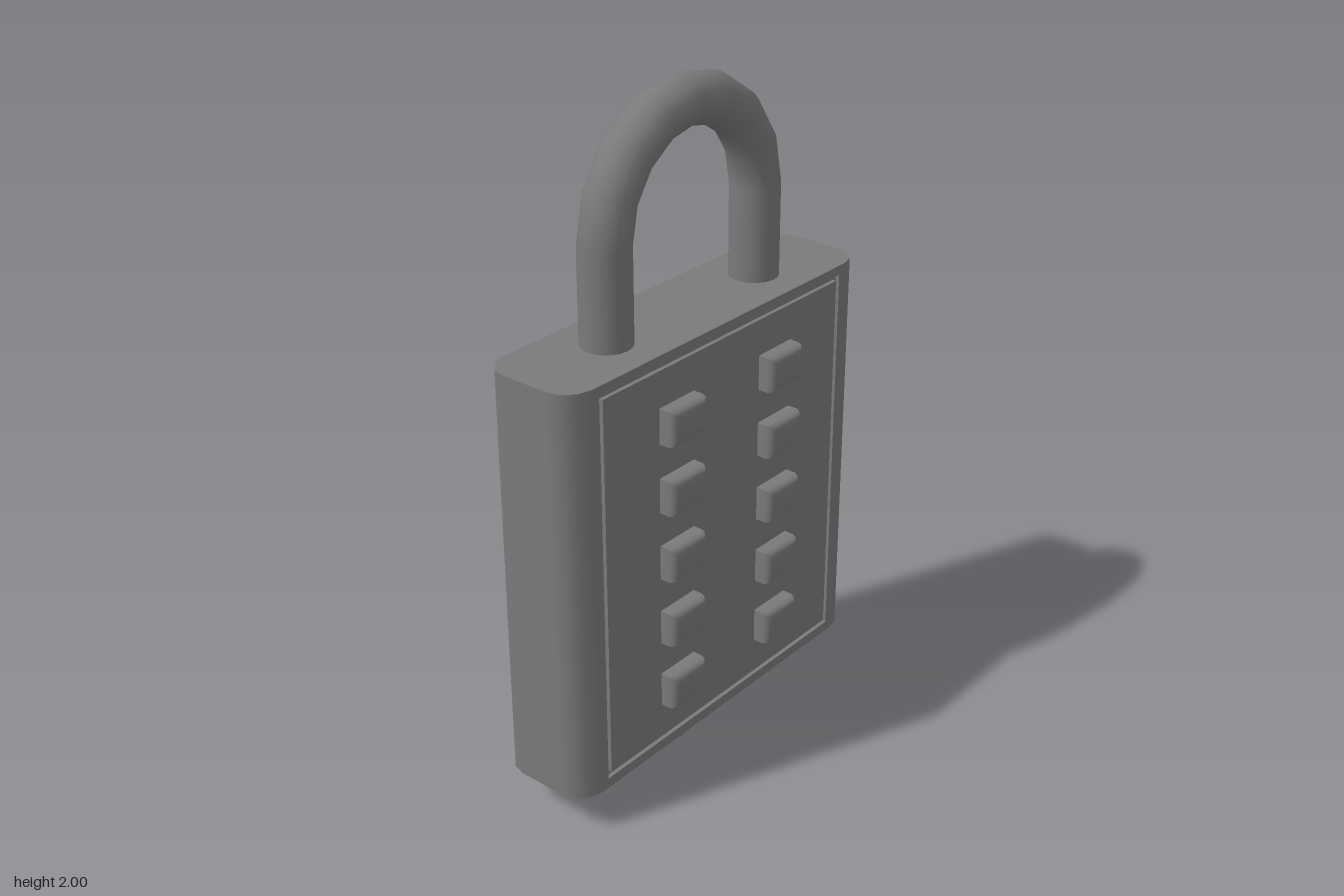
import * as THREE from 'three';
import { mergeVertices, toCreasedNormals } from 'three/addons/utils/BufferGeometryUtils.js';

const W = 0.613, BACK = -0.18, FRONT = 0.126, R = 0.08;
const GROOVE_X = 0.508, GROOVE_Z = 0.114;
const SHACKLE_Z = -0.027, SHACKLE_R = 0.308, ROD = 0.072;

export function createModel() {
  const group = new THREE.Group();
  const material = new THREE.MeshStandardMaterial({ color: 0x7a7a7a });

  const add = (name, geometry, x = 0, y = 0, z = 0, parent = group) => {
    const mesh = new THREE.Mesh(geometry, material);
    mesh.name = name;
    mesh.position.set(x, y, z);
    parent.add(mesh);
    return mesh;
  };

  // Plan outline of the case (shape y is -z): rounded corners, optional front notch and latch slot
  const outline = (notched, slotted) => {
    const points = [];
    const corners = [[1, BACK + R, 0], [-1, BACK + R, 1], [-1, FRONT - R, 2], [1, FRONT - R, 3]];
    for (const [side, z, quarter] of corners) {
      if (quarter === 3 && notched) {
        for (const [x, nz] of [[-1, FRONT], [-1, GROOVE_Z], [1, GROOVE_Z], [1, FRONT]]) {
          points.push(new THREE.Vector2(x * GROOVE_X, -nz));
        }
      }
      for (let i = 0; i <= 3; i++) {
        const a = (quarter + i / 3) * Math.PI / 2;
        points.push(new THREE.Vector2(side * (W - R) + R * Math.cos(a), -z + R * Math.sin(a)));
      }
    }
    const shape = new THREE.Shape(points);
    if (slotted) {
      shape.holes.push(new THREE.Path([[-0.2, 0.07], [-0.2, -0.026], [0.2, -0.026], [0.2, 0.07]]
        .map(([x, y]) => new THREE.Vector2(x, y))));
    }
    return shape;
  };

  // Round the shading of the corners while the broad faces stay flat
  const smoothCorners = (geometry) => {
    const { position, normal } = geometry.attributes;
    const n = new THREE.Vector3();
    for (let i = 0; i < position.count; i++) {
      const x = position.getX(i), z = position.getZ(i);
      if (Math.abs(normal.getY(i)) > 0.5 || Math.abs(x) < W - R - 1e-4) continue;
      n.set(x - THREE.MathUtils.clamp(x, R - W, W - R), 0, z - THREE.MathUtils.clamp(z, BACK + R, FRONT - R)).normalize();
      normal.setXYZ(i, n.x, n.y, n.z);
    }
    return geometry;
  };

  // Case, stacked in bands: [bottom, top, notched, slotted]
  const body = new THREE.Group();
  body.name = 'body';
  group.add(body);
  const bands = [
    [0.119, 0.15, false, true],
    [0.15, 0.25, true, true],
    [0.25, 1.322, true, false],
    [1.322, 1.35, false, false],
  ];
  for (const [y0, y1, notched, slotted] of bands) {
    const geometry = new THREE.ExtrudeGeometry(outline(notched, slotted), { depth: y1 - y0, bevelEnabled: false });
    geometry.rotateX(-Math.PI / 2);
    add('bodyBand', smoothCorners(geometry), 0, y0, 0, body);
  }

  // Front panel, separated from the case by a thin groove
  add('frontPanel', new THREE.BoxGeometry(0.988, 1.144, 0.03), 0, 0.736, FRONT - 0.015);

  // Two columns of five push buttons with rounded, mitred front edges
  const bevel = 0.022, hw = 0.07 - bevel, hh = 0.052 - bevel;
  const face = new THREE.Shape([[-hw, -hh], [hw, -hh], [hw, hh], [-hw, hh]].map(([x, y]) => new THREE.Vector2(x, y)));
  const buttonGeometry = toCreasedNormals(new THREE.ExtrudeGeometry(face, {
    depth: 0.04, bevelSize: bevel, bevelThickness: bevel, bevelSegments: 3,
  }), 0.6);
  for (const x of [-0.21, 0.21]) {
    for (let row = 0; row < 5; row++) add('button', buttonGeometry, x, 0.325 + row * 0.206, 0.116);
  }

  // Shackle: half-ring arch on two straight legs
  const shackle = new THREE.Group();
  shackle.name = 'shackle';
  group.add(shackle);
  add('shackleArch', new THREE.TorusGeometry(SHACKLE_R, ROD, 16, 8, Math.PI), 0, 1.62, SHACKLE_Z, shackle);
  for (const side of [-1, 1]) {
    add('shackleLeg', new THREE.CylinderGeometry(ROD, ROD, 0.28, 16, 1, true), side * SHACKLE_R, 1.48, SHACKLE_Z, shackle);
  }

  // Round sliding latch in the bottom slot, softly shaded over its rim
  let latch = new THREE.CylinderGeometry(0.113, 0.113, 0.096, 16);
  latch.rotateX(Math.PI / 2);
  latch.deleteAttribute('normal');
  latch.deleteAttribute('uv');
  latch = mergeVertices(latch);
  latch.computeVertexNormals();
  add('latch', latch, -0.08, 0.113, -0.022);

  return group;
}
